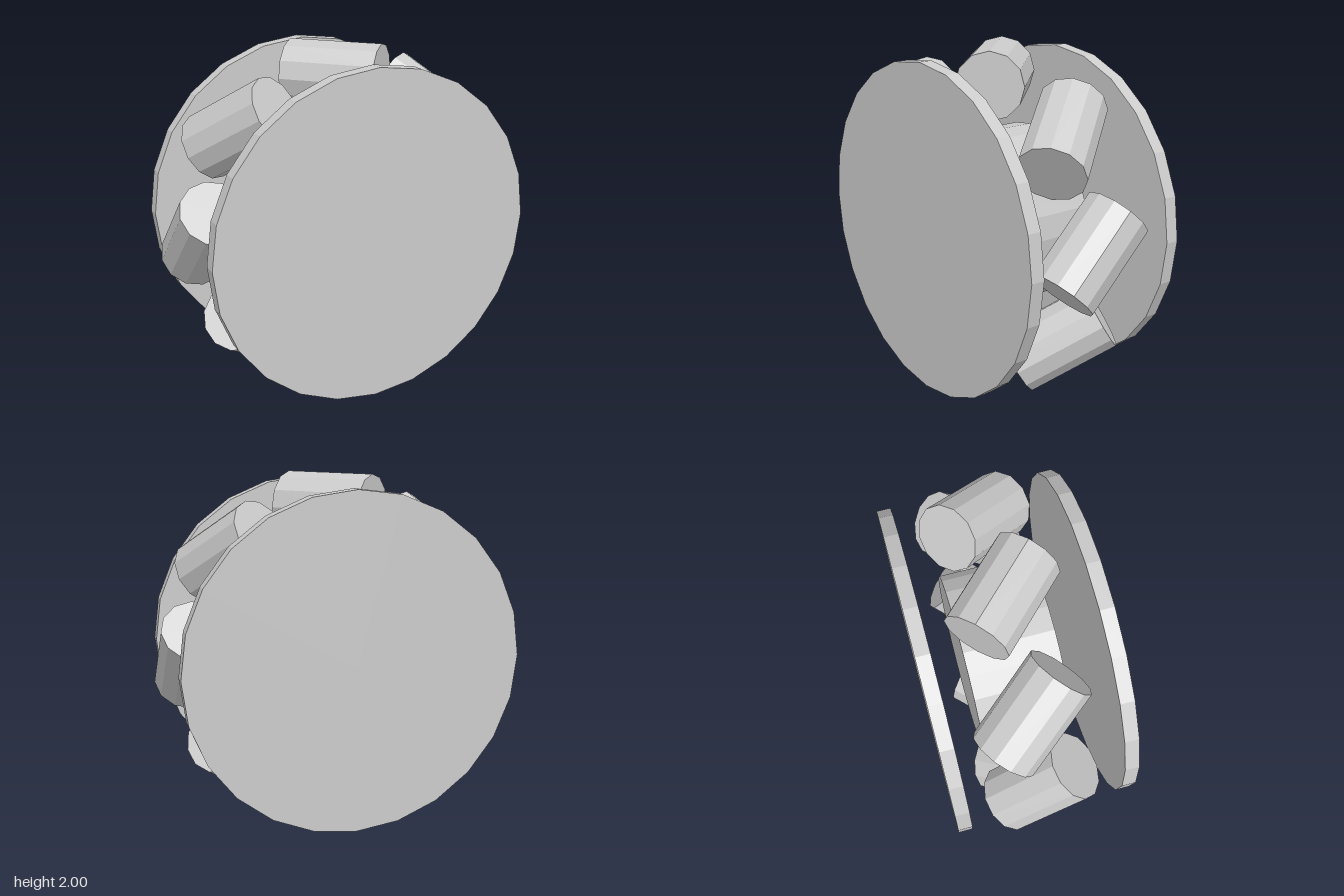
import * as THREE from 'three';

const material = new THREE.MeshStandardMaterial({ color: 0xcccccc, flatShading: true });

// Cylinder whose axis runs along z
function drum(name, radius, depth, z) {
  const geometry = new THREE.CylinderGeometry(radius, radius, depth, 24).rotateX(Math.PI / 2);
  const mesh = new THREE.Mesh(geometry, material);
  mesh.name = name;
  mesh.position.z = z;
  return mesh;
}

export function createModel() {
  const wheel = new THREE.Group();
  wheel.name = 'rollerWheel';

  // Central hub and the two side plates
  wheel.add(drum('hub', 0.51, 0.51, 0));
  wheel.add(drum('frontPlate', 0.95, 0.08, 0.47));
  wheel.add(drum('backPlate', 0.95, 0.08, -0.47));

  // Slanted roller, lifted to the rim
  const roller = new THREE.CylinderGeometry(0.19, 0.19, 0.53, 12)
    .rotateZ(-Math.PI / 2)
    .rotateY(-Math.PI / 4)
    .translate(0, 0.81, 0);

  // Eight rollers around the axle
  for (let i = 0; i < 8; i++) {
    const mesh = new THREE.Mesh(roller, material);
    mesh.name = `roller${i + 1}`;
    mesh.rotation.z = (-i * Math.PI) / 4;
    wheel.add(mesh);
  }

  wheel.position.y = 1;
  const model = new THREE.Group();
  model.add(wheel);
  return model;
}
